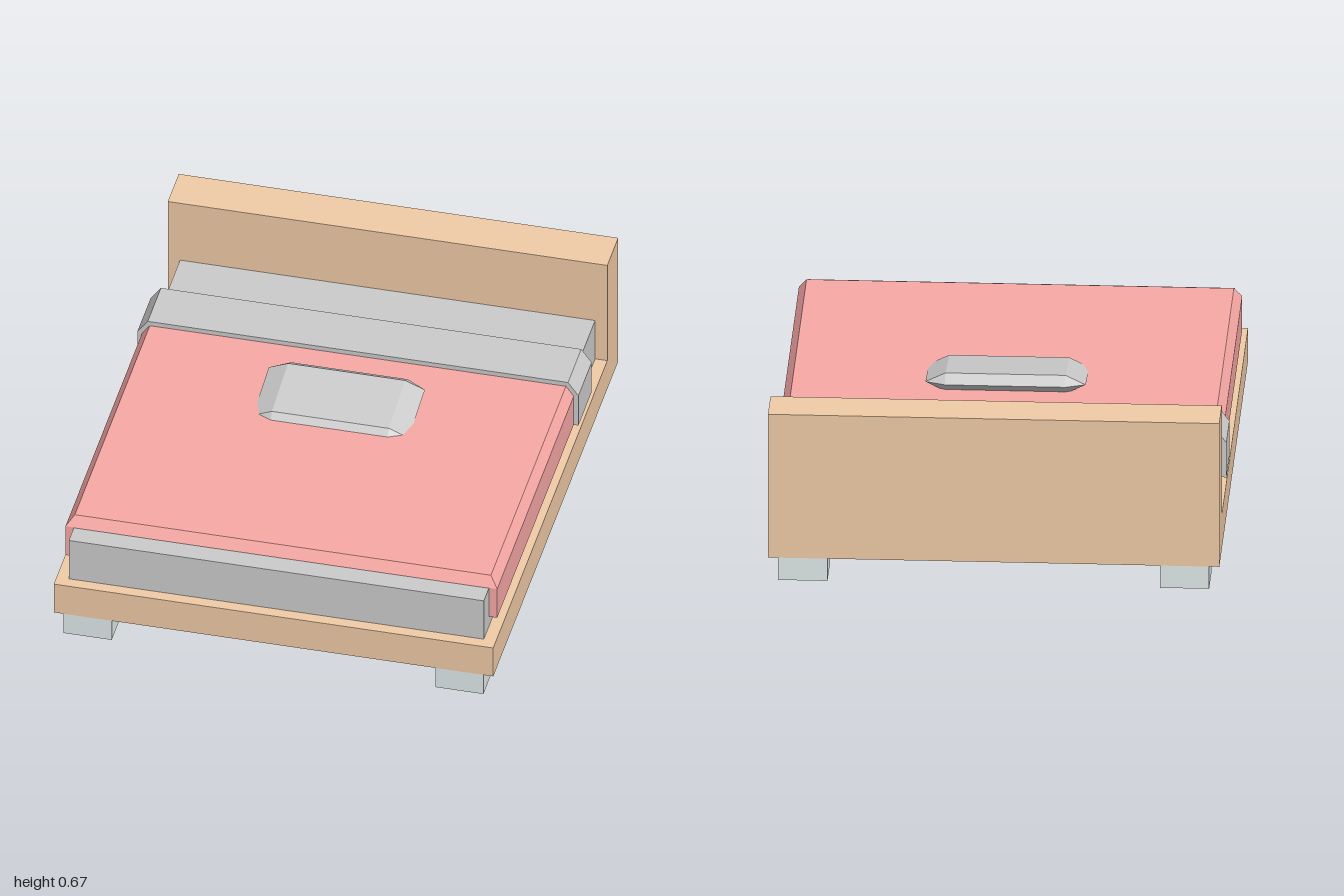
import * as THREE from 'three';
import { ConvexGeometry } from 'three/addons/geometries/ConvexGeometry.js';

const material = (color) => new THREE.MeshStandardMaterial({ color, flatShading: true });
const wood = material(0xf0cba6);
const grey = material(0xcccccc);
const pink = material(0xf8a8a5);
const pale = material(0xe0e9ea);

function add(parent, name, geometry, mat) {
  const mesh = new THREE.Mesh(geometry, mat);
  mesh.name = name;
  parent.add(mesh);
  return mesh;
}

// Box given by its limits on each axis
function block([x0, x1], [y0, y1], [z0, z1]) {
  return new THREE.BoxGeometry(x1 - x0, y1 - y0, z1 - z0)
    .translate((x0 + x1) / 2, (y0 + y1) / 2, (z0 + z1) / 2);
}

// Convex solid from points mirrored across x = 0
function mirroredHull(points) {
  const all = [];
  for (const [x, y, z] of points) {
    all.push(new THREE.Vector3(x, y, z), new THREE.Vector3(-x, y, z));
  }
  return new ConvexGeometry(all);
}

// Cover with sloped upper side edges; frontBevel slopes the front edge too
function cover(halfWidth, halfTop, bottom, shoulder, top, back, front, frontBevel) {
  return mirroredHull([
    [halfWidth, bottom, back], [halfWidth, bottom, front],
    [halfWidth, shoulder, back], [halfWidth, shoulder, front],
    [halfTop, top, back], [halfTop, top, front - frontBevel],
  ]);
}

export function createModel() {
  const bed = new THREE.Group();
  bed.name = 'bed';

  // Base and headboard: one L-shaped side profile across the full width
  const profile = new THREE.Shape([
    [-1, 0.09], [1, 0.09], [1, 0.223], [-0.825, 0.223], [-0.825, 0.67], [-1, 0.67],
  ].map(([z, y]) => new THREE.Vector2(z, y)));
  const frame = new THREE.ExtrudeGeometry(profile, { depth: 1.69, bevelEnabled: false })
    .rotateY(-Math.PI / 2)
    .translate(0.845, 0, 0);
  add(bed, 'frame', frame, wood);

  // Feet
  for (const [side, sx] of [['left', 1], ['right', -1]]) {
    const x = sx > 0 ? [0.622, 0.807] : [-0.807, -0.622];
    add(bed, side + 'FrontFoot', block(x, [0, 0.09], [0.87, 1]), pale);
    add(bed, side + 'BackFoot', block(x, [0, 0.09], [-1, -0.825]), pale);
  }

  // Bedding
  add(bed, 'mattress', block([-0.798, 0.798], [0.223, 0.403], [-0.825, 0.955]), grey);
  add(bed, 'blanket', cover(0.83, 0.8, 0.27, 0.405, 0.446, -0.35, 0.875, 0.025), pink);
  add(bed, 'blanketFold', cover(0.848, 0.808, 0.27, 0.41, 0.465, -0.562, -0.35, 0), grey);

  // Cushion: bevelled slab tilted with its back edge raised
  const points = [];
  for (const s of [-1, 1]) {
    points.push(
      [0.225, 0.035, s * 0.13], [0.225, -0.035, s * 0.13],
      [0.3, 0, s * 0.13], [0.225, 0, s * 0.172],
    );
  }
  const cushion = add(bed, 'cushion', mirroredHull(points), grey);
  cushion.position.set(0, 0.453, -0.045);
  cushion.rotation.x = 0.134;

  return bed;
}
